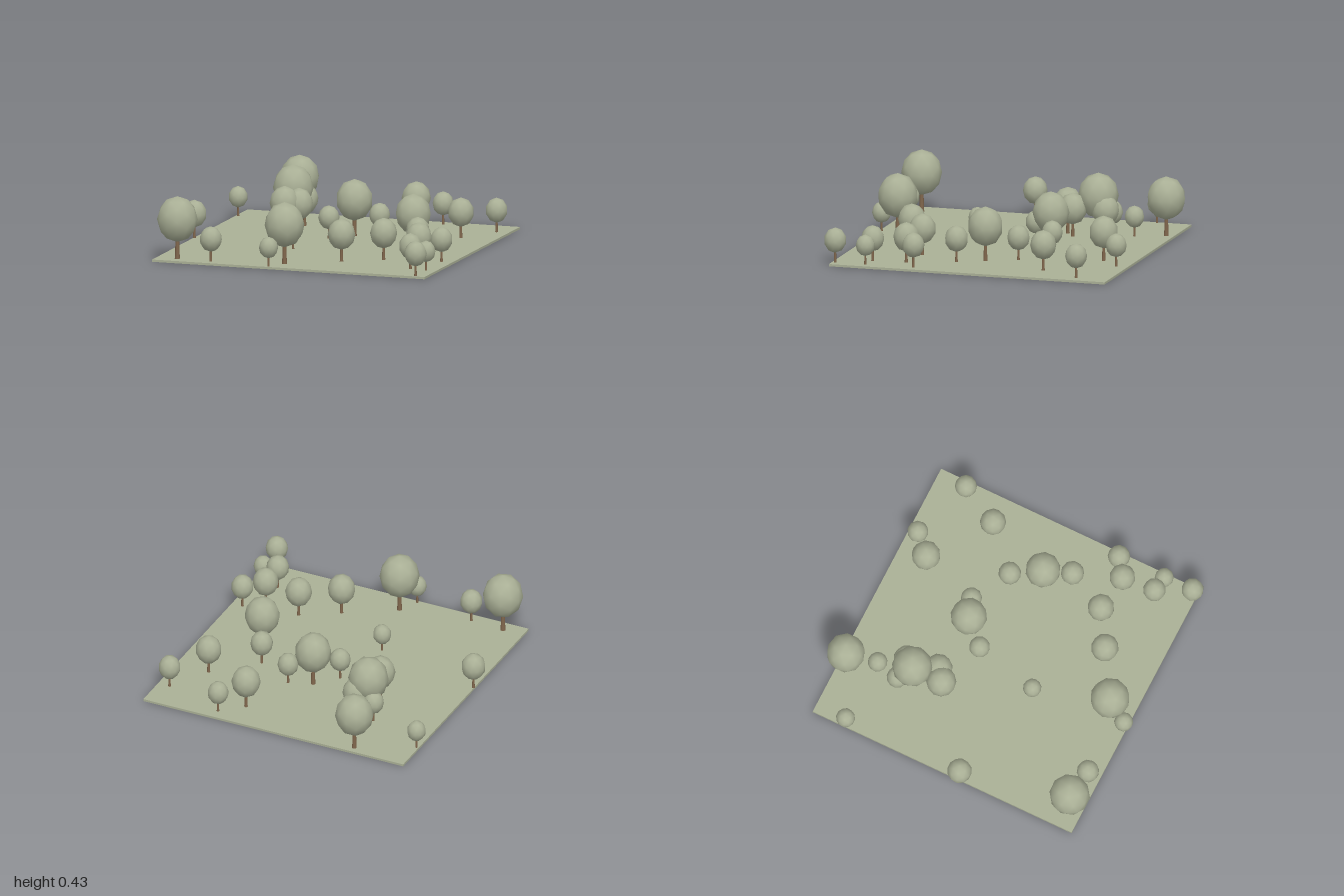
import * as THREE from 'three';

const sage = new THREE.MeshStandardMaterial({ color: 0xaab096 });
sage.name = 'sage green';
const bark = new THREE.MeshStandardMaterial({ color: 0x80664c });
bark.name = 'bark brown';

const PLATE = 0.015;

// Each tree: x, z, crown radius
const TREES = [
  [-0.525, -0.877, 0.126], [-0.885, -0.7, 0.062], [-0.45, -0.685, 0.064],
  [0.326, -0.722, 0.095], [0.465, -0.85, 0.069], [0.88, -0.71, 0.072],
  [-0.49, -0.523, 0.07], [-0.365, -0.515, 0.09], [-0.42, -0.45, 0.132],
  [-0.33, -0.305, 0.092], [-0.408, -0.247, 0.098], [0.058, -0.28, 0.12],
  [0.21, -0.337, 0.069], [-0.068, -0.14, 0.069], [0.47, -0.19, 0.074],
  [0.73, -0.44, 0.085], [0.56, 0.005, 0.115], [0.65, 0.173, 0.077],
  [-0.895, 0.127, 0.08], [-0.163, 0.287, 0.06], [0.512, 0.447, 0.088],
  [0.763, 0.477, 0.085], [0.888, 0.39, 0.073], [0.275, 0.593, 0.09],
  [-0.046, 0.79, 0.13], [-0.757, 0.853, 0.132], [-0.523, 0.868, 0.073],
  [-0.11, 0.92, 0.062], [0.783, 0.698, 0.075], [0.895, 0.713, 0.062],
  [0.895, 0.917, 0.073],
];

// Faceted outline, smooth shading
const crownGeometry = new THREE.IcosahedronGeometry(1, 1);

// Unit-height trunk with a slightly flared foot
const trunkGeometry = new THREE.LatheGeometry(
  [[0.13, 0], [0.11, 0.15], [0.095, 0.5], [0.09, 1]].map(([r, y]) => new THREE.Vector2(r, y)), 8);

function createTree(x, z, r, turn) {
  const tree = new THREE.Group();
  tree.name = 'tree';
  const crownY = 0.02 + 1.93 * r;

  const trunk = new THREE.Mesh(trunkGeometry, bark);
  trunk.name = 'trunk';
  trunk.position.y = PLATE;
  trunk.scale.set(r, crownY - PLATE, r);

  const crown = new THREE.Mesh(crownGeometry, sage);
  crown.name = 'crown';
  crown.position.y = crownY;
  crown.scale.set(r, r * 1.14, r);

  tree.add(trunk, crown);
  tree.position.set(x, 0, z);
  tree.rotation.y = turn;
  return tree;
}

export function createModel() {
  const model = new THREE.Group();
  model.name = 'treeField';

  // Thin ground plate
  const ground = new THREE.Mesh(new THREE.BoxGeometry(1.863, PLATE, 1.867), sage);
  ground.name = 'ground';
  ground.position.set(0.031, PLATE / 2, 0.004);
  model.add(ground);

  // Scattered trees, each turned differently
  TREES.forEach(([x, z, r], i) => model.add(createTree(x, z, r, i * 2.4)));
  return model;
}
